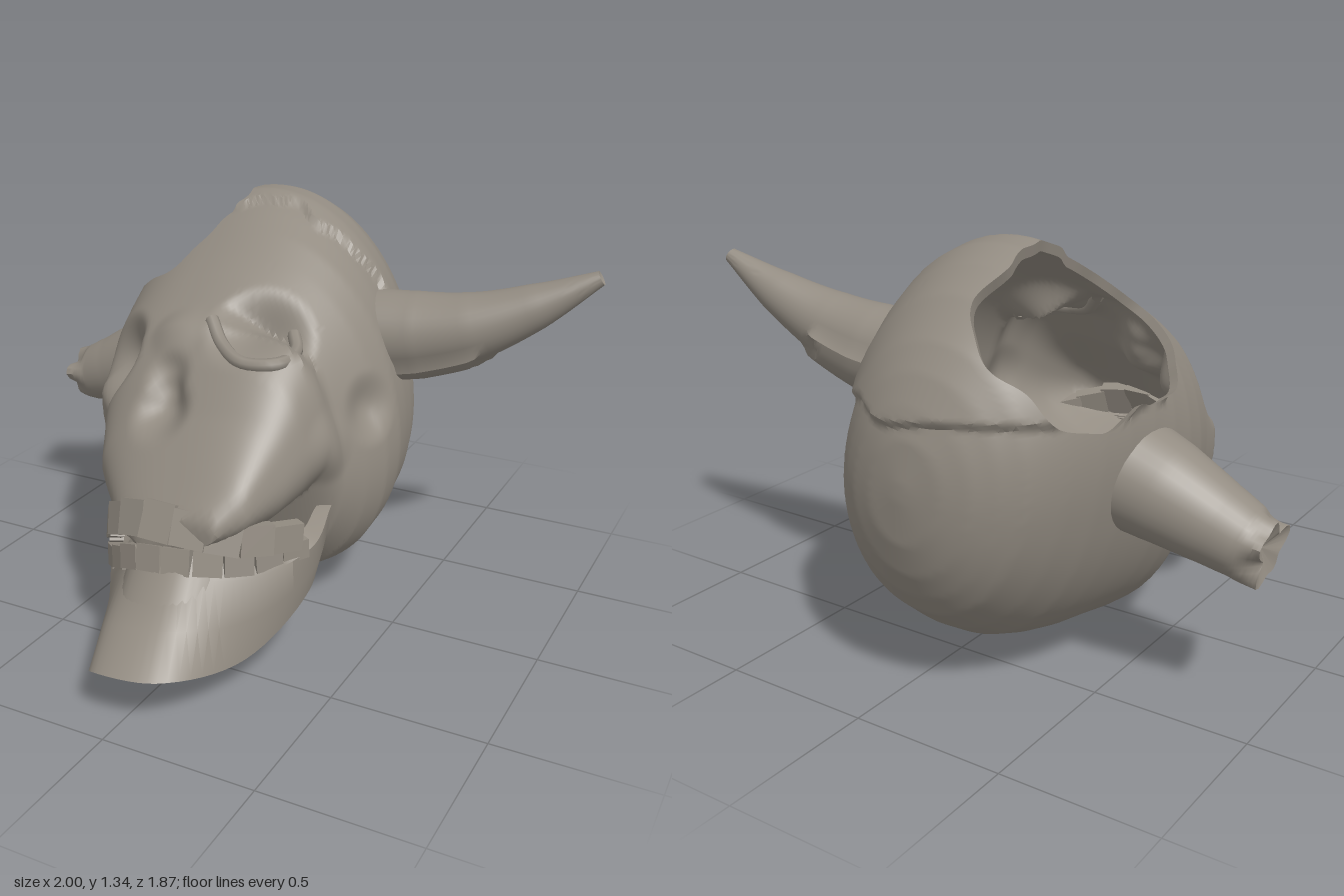
import * as THREE from 'three';
import { toCreasedNormals } from 'three/addons/utils/BufferGeometryUtils.js';

const V = (x, y, z) => new THREE.Vector3(x, y, z);
const ROLL = 0.28; // the head leans to one side
const CORE = V(-0.1, 0.66, -0.25);

// head cross-sections from back to front: z, centre x, centre y, half width, half height, squareness
const SECTIONS = [
  [-0.935, -0.13, 0.72, 0.02, 0.03, 2.1], [-0.92, -0.13, 0.71, 0.12, 0.16, 2.1], [-0.89, -0.13, 0.7, 0.2, 0.255, 2.1],
  [-0.85, -0.13, 0.7, 0.26, 0.34, 2.1], [-0.8, -0.13, 0.7, 0.315, 0.415, 2.1], [-0.7, -0.13, 0.71, 0.38, 0.51, 2.15],
  [-0.6, -0.13, 0.71, 0.425, 0.575, 2.2], [-0.5, -0.125, 0.71, 0.46, 0.615, 2.2], [-0.4, -0.12, 0.7, 0.485, 0.63, 2.2],
  [-0.3, -0.115, 0.68, 0.505, 0.615, 2.2], [-0.2, -0.105, 0.65, 0.515, 0.595, 2.25], [-0.1, -0.1, 0.615, 0.505, 0.57, 2.3],
  [0, -0.1, 0.6, 0.475, 0.53, 2.35], [0.1, -0.11, 0.6, 0.45, 0.46, 2.4], [0.19, -0.07, 0.71, 0.4, 0.32, 2.5],
  [0.3, -0.05, 0.66, 0.37, 0.26, 2.6], [0.4, -0.04, 0.595, 0.335, 0.195, 2.7], [0.55, 0.01, 0.54, 0.24, 0.1, 2.7],
  [0.63, 0.03, 0.51, 0.15, 0.05, 2.5],
];

function inside(p) {
  const i = SECTIONS.findIndex((s) => s[0] > p.z);
  if (i < 1) return false;
  const a = SECTIONS[i - 1], b = SECTIONS[i], t = (p.z - a[0]) / (b[0] - a[0]);
  const [, cx, cy, w, h, e] = a.map((n, k) => n + (b[k] - n) * t);
  const x = p.x - cx, y = p.y - cy, c = Math.cos(ROLL), s = Math.sin(ROLL);
  return Math.abs((x * c + y * s) / w) ** e + Math.abs((y * c - x * s) / h) ** e < 1;
}

// distance from the core to the head surface along a direction
function reach(dir) {
  const at = (r) => inside(CORE.clone().addScaledVector(dir, r));
  let lo = 0.1;
  while (at(lo + 0.02) && lo < 2) lo += 0.02;
  let hi = lo + 0.02;
  for (let k = 0; k < 14; k++) {
    const m = (lo + hi) / 2;
    if (at(m)) lo = m; else hi = m;
  }
  return lo;
}

// hollows (positive depth) and bumps (negative): centre, radius, depth
const DENTS = [
  [V(0.06, 0.98, 0.12), 0.19, 0.13], [V(-0.44, 0.82, 0.12), 0.19, 0.15], // eye sockets
  [V(-0.17, 0.87, 0.3), 0.1, 0.04], [V(-0.15, 0.77, 0.35), 0.13, 0.08], // nose
  [V(0.37, 0.74, -0.06), 0.13, 0.04], [V(-0.58, 0.5, -0.05), 0.13, 0.04], // temples
  [V(0.34, 0.68, 0.18), 0.14, -0.025], [V(-0.45, 0.5, 0.17), 0.14, -0.025], // cheekbones
  [V(-0.2, 1.0, 0.2), 0.12, -0.02], // nose bridge
];

function headPoint(dir) {
  const p = CORE.clone().addScaledVector(dir, reach(dir));
  let shift = 0;
  for (const [c, r, depth] of DENTS) {
    const d = p.distanceTo(c) / r;
    if (d < 1) shift -= depth * (1 - d * d) ** 2;
  }
  // raised skull cap with a ragged edge
  const front = -0.33 + 0.025 * Math.sin(p.x * 20) + 0.012 * Math.sin(p.x * 43) - p.z;
  const low = p.y - 0.9 - 0.014 * Math.sin(p.z * 22 + p.x * 13);
  shift += 0.022 * THREE.MathUtils.smoothstep(Math.min(front, low), 0, 0.02);
  return p.addScaledVector(dir, shift);
}

// surface through rows of points, each row joined into a ring
function loft(rows) {
  const n = rows[0].length, index = [];
  for (let i = 0; i < rows.length - 1; i++) {
    for (let j = 0; j < n; j++) {
      const k = (j + 1) % n, a = i * n, b = a + n;
      index.push(a + j, a + k, b + j, a + k, b + k, b + j);
    }
  }
  const g = new THREE.BufferGeometry().setFromPoints(rows.flat());
  g.setIndex(index);
  return toCreasedNormals(g, 0.7);
}

// head shell wrapped around the broken opening
function headGeometry() {
  const pole = V(-0.34, 0.43, -0.17).normalize();
  const e1 = V(0, 0, 1).addScaledVector(pole, -pole.z).normalize();
  const e2 = pole.clone().cross(e1);
  const rows = [], N = 200, M = 120;
  for (let i = 0; i <= M; i++) {
    const row = [];
    for (let j = 0; j < N; j++) {
      const f = (j / N) * Math.PI * 2;
      const edge = 0.5 + 0.07 * Math.cos(2 * f) + 0.03 * Math.sin(5 * f + 1) + 0.012 * Math.sin(11 * f);
      const th = edge + (Math.PI - edge) * (i / M);
      const dir = pole.clone().multiplyScalar(Math.cos(th))
        .addScaledVector(e1, Math.sin(th) * Math.cos(f)).addScaledVector(e2, Math.sin(th) * Math.sin(f));
      row.push(headPoint(dir));
    }
    rows.push(row);
  }
  rows.unshift(rows[0].map((p) => p.clone().lerp(CORE, 0.05))); // broken bone thickness
  return loft(rows);
}

// horn rings [x, y, z, radius]; rule changes the radius around each ring
function hornGeometry(stations, rule) {
  const path = new THREE.CatmullRomCurve3(stations.map((s) => V(s[0], s[1], s[2])));
  const rows = [], steps = 40, last = stations.length - 1;
  for (let i = 0; i <= steps; i++) {
    const t = i / steps, k = Math.min(Math.floor(t * last), last - 1);
    const r = THREE.MathUtils.lerp(stations[k][3], stations[k + 1][3], t * last - k);
    const c = path.getPoint(t), tan = path.getTangent(t);
    const a = V(0, 0, 1).addScaledVector(tan, -tan.z).normalize(), b = tan.clone().cross(a);
    const row = [];
    for (let j = 0; j < 32; j++) {
      const f = (j / 32) * Math.PI * 2, q = r + rule(t, f);
      row.push(c.clone().addScaledVector(a, Math.cos(f) * q).addScaledVector(b, Math.sin(f) * q));
    }
    rows.push(row);
  }
  const end = path.getPoint(1).addScaledVector(path.getTangent(1), -stations[last][3] * 0.4);
  rows.push(rows[steps].map(() => end.clone()));
  return loft(rows);
}

// lower jaw: a bowed wall with a top rim, a flared lower rim and a raised inner face
function jawGeometry() {
  const curve = (pts) => new THREE.CatmullRomCurve3(pts.map((p) => V(...p)));
  const top = curve([[0.33, 0.47, 0.14], [0.36, 0.42, 0.35], [0.25, 0.38, 0.54], [0.06, 0.38, 0.65],
    [-0.14, 0.33, 0.62], [-0.3, 0.23, 0.48], [-0.37, 0.23, 0.36], [-0.36, 0.32, 0.2]]);
  const low = curve([[0.31, 0.33, 0.17], [0.34, 0.25, 0.32], [0.26, 0.13, 0.6], [0.13, 0.18, 0.9],
    [-0.09, 0.16, 0.91], [-0.2, 0.01, 0.66], [-0.33, 0.08, 0.4], [-0.36, 0.2, 0.24]]);
  const rows = [];
  for (let i = 0; i <= 56; i++) {
    const a = top.getPoint(i / 56), b = low.getPoint(i / 56);
    const mid = a.clone().lerp(b, 0.5);
    const inward = V(-mid.x, 0, 0.35 - mid.z).normalize().multiplyScalar(0.03);
    mid.addScaledVector(inward, -0.3);
    const lip = a.clone().addScaledVector(inward, 1.6);
    lip.y += 0.09 * Math.sin((i / 56) * Math.PI);
    rows.push([a, mid, b, b.clone().add(inward), mid.clone().add(inward), lip]);
  }
  return loft(rows);
}

export function createModel() {
  const model = new THREE.Group();
  const bone = new THREE.MeshStandardMaterial({ color: 0x938c82, side: THREE.DoubleSide });
  bone.name = 'bone';
  const add = (name, geometry, parent = model) => {
    const m = new THREE.Mesh(geometry, bone);
    m.name = name;
    parent.add(m);
    return m;
  };

  add('skull', headGeometry());
  add('lowerJaw', jawGeometry());

  // whole horn with a ragged sheath over its upper root
  add('leftHorn', hornGeometry([[0.26, 0.9, -0.36, 0.15], [0.42, 0.92, -0.37, 0.14], [0.6, 0.965, -0.38, 0.115],
    [0.8, 1.055, -0.41, 0.075], [0.99, 1.165, -0.44, 0.024]], (t, f) => {
    const edge = 0.52 + 0.06 * Math.sin(f * 4) - t;
    return Math.sin(f - 0.4) > 0.25 ? 0.018 * THREE.MathUtils.smoothstep(edge, 0, 0.03) : 0;
  }));

  // broken horn with a chipped end
  add('rightHornStub', hornGeometry([[-0.55, 0.69, -0.385, 0.17], [-0.66, 0.655, -0.385, 0.155],
    [-0.82, 0.59, -0.375, 0.125], [-0.92, 0.555, -0.375, 0.108], [-0.985, 0.545, -0.375, 0.085]],
  (t, f) => (t > 0.72 ? (t - 0.72) * 0.06 * (Math.sin(f * 5) + Math.sin(f * 3 + 1)) : 0)));

  // crescent ridge lying along the lower rim of the left eye socket
  const ridge = new THREE.CatmullRomCurve3([V(-0.09, 1.0, 0.12), V(-0.03, 0.94, 0.16), V(0.05, 0.9, 0.18),
    V(0.13, 0.9, 0.15), V(0.17, 0.95, 0.09), V(0.15, 1.0, 0.05)].map((p) => headPoint(p.sub(CORE).normalize())));
  add('eyeRidge', new THREE.TubeGeometry(ridge, 32, 0.022, 8));

  // tooth rows follow the mouth: [name, path, count, width, height, lean]
  const rowsOfTeeth = [
    ['upperTeeth', [[-0.33, 0.34, 0.4], [-0.22, 0.47, 0.54], [-0.08, 0.535, 0.61], [0.08, 0.535, 0.61],
      [0.21, 0.5, 0.54], [0.33, 0.47, 0.38]], 9, 0.108, 0.12, -0.45],
    ['lowerTeeth', [[-0.34, 0.26, 0.4], [-0.23, 0.33, 0.53], [-0.08, 0.41, 0.62], [0.08, 0.43, 0.62],
      [0.22, 0.42, 0.53], [0.345, 0.43, 0.36]], 10, 0.09, 0.085, -0.3],
  ];
  for (const [name, pts, count, w, h, lean] of rowsOfTeeth) {
    const row = new THREE.Group();
    row.name = name;
    model.add(row);
    const path = new THREE.CatmullRomCurve3(pts.map((p) => V(...p)));
    for (let i = 0; i < count; i++) {
      const u = (i + 0.5) / count, tan = path.getTangentAt(u);
      const side = Math.abs(u - 0.5) * 2;
      const tooth = add('tooth', new THREE.BoxGeometry(w, h * (1 - 0.3 * side), 0.045), row);
      tooth.position.copy(path.getPointAt(u));
      const slope = Math.atan2(tan.y, Math.hypot(tan.x, tan.z));
      tooth.rotation.set(lean * (1 - side), Math.atan2(-tan.z, tan.x), slope * 0.8, 'YXZ');
    }
  }

  // stand on the ground, centred
  const box = new THREE.Box3().setFromObject(model), c = box.getCenter(V(0, 0, 0));
  model.position.set(-c.x, -box.min.y, -c.z);
  return model;
}
